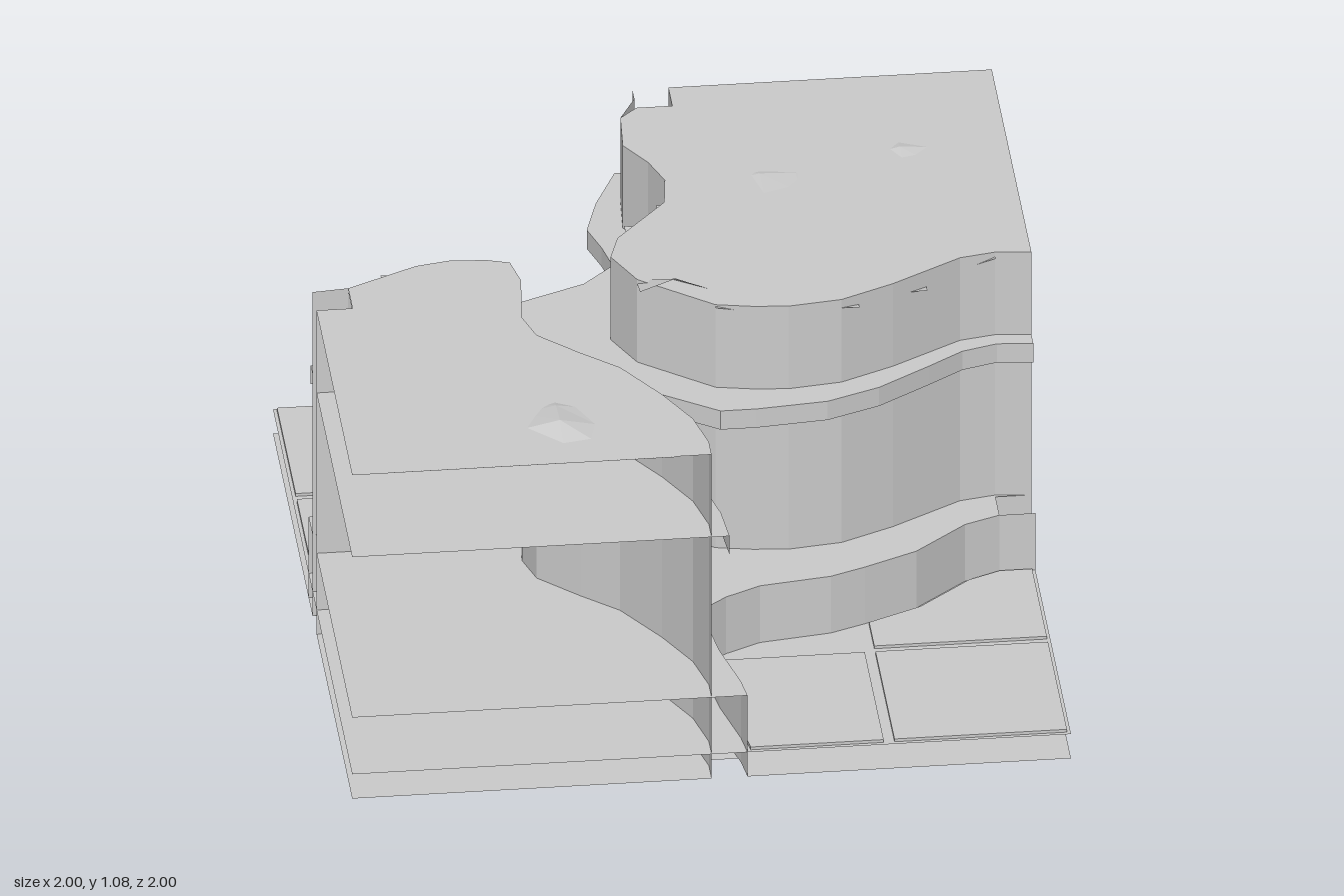
import * as THREE from 'three';

// Plan outlines, as [x, z] points
const northEdge = [[0, -1], [0, -0.95], [-0.05, -0.85], [-0.06, -0.7], [0, -0.6], [0.035, -0.5], [0.02, -0.38], [-0.13, -0.2],
  [-0.16, -0.1], [-0.1, 0.03], [0, 0.11], [0.1, 0.19], [0.2, 0.21], [0.3, 0.22], [0.45, 0.2], [0.6, 0.13], [0.8, 0.01], [0.9, -0.01], [1, 0]];
const southEdge = [[-1, 0], [-0.9, -0.01], [-0.7, -0.11], [-0.6, -0.13], [-0.5, -0.12], [-0.44, -0.1], [-0.42, 0], [-0.44, 0.2],
  [-0.41, 0.3], [-0.3, 0.41], [-0.2, 0.5], [-0.1, 0.66], [-0.03, 0.8], [0, 0.93], [0, 1]];
const galleryFront = [[1, 0.05], [0.9, 0.04], [0.8, 0.07], [0.7, 0.14], [0.55, 0.24], [0.4, 0.3], [0.2, 0.32], [0.1, 0.32], [0, 0.25],
  [-0.1, 0.18], [-0.2, 0.14], [-0.3, 0.16], [-0.32, 0.2], [-0.31, 0.28], [-0.2, 0.4], [-0.1, 0.5], [0, 0.7], [0.04, 0.87], [0.05, 1]];
const galleryBack = [[-1, -0.05], [-0.9, -0.07], [-0.7, -0.18], [-0.5, -0.28], [-0.2, -0.41], [-0.11, -0.5], [-0.13, -0.6],
  [-0.16, -0.7], [-0.12, -0.84], [-0.05, -1]];
const terraceFront = [[1, 0.1], [0.9, 0.1], [0.8, 0.14], [0.65, 0.27], [0.5, 0.34], [0.4, 0.38], [0.2, 0.41], [0.1, 0.46], [0.04, 0.51],
  [0.03, 0.6], [0.05, 0.75], [0.09, 0.92], [0.1, 1]];
const terraceBack = [[-1, -0.1], [-0.9, -0.12], [-0.7, -0.25], [-0.5, -0.38], [-0.3, -0.5], [-0.27, -0.6], [-0.25, -0.7], [-0.19, -0.83],
  [-0.1, -0.95], [-0.1, -1]];

// Small square shafts cut into the block sides
const westShaft = [[-1, 0.1], [-0.9, 0.1], [-0.9, 0], [-1, 0]];
const backShaft = [[0, -1], [0, -0.9], [0.1, -0.9], [0.1, -1]];
const eastShaft = [[1, 0], [0.9, 0], [0.9, 0.1]];
const frontShaft = [[0.1, 1], [0.1, 0.9], [0, 0.9], [0, 1]];

const grey = new THREE.MeshStandardMaterial({ color: 0xcccccc, side: THREE.DoubleSide, flatShading: true });
grey.name = 'light grey';

function add(group, name, geometry) {
  const mesh = new THREE.Mesh(geometry, grey);
  mesh.name = name;
  group.add(mesh);
  return mesh;
}

// Horizontal sheet with a given outline
function sheet(group, name, points, y) {
  const shape = new THREE.Shape(points.map(([x, z]) => new THREE.Vector2(x, -z)));
  add(group, name, new THREE.ShapeGeometry(shape).rotateX(-Math.PI / 2).translate(0, y, 0));
}

function surface(quads) {
  const positions = [];
  for (const [a, b, c, d] of quads) positions.push(...a, ...b, ...c, ...a, ...c, ...d);
  const geometry = new THREE.BufferGeometry();
  geometry.setAttribute('position', new THREE.Float32BufferAttribute(positions, 3));
  geometry.computeVertexNormals();
  return geometry;
}

// Vertical wall that follows a path; its front is on the path's right-hand side
function wall(group, name, path, y0, y1) {
  const quads = [];
  for (let i = 0; i + 1 < path.length; i++) {
    const [x0, z0] = path[i], [x1, z1] = path[i + 1];
    quads.push([[x0, y0, z0], [x1, y0, z1], [x1, y1, z1], [x0, y1, z0]]);
  }
  add(group, name, surface(quads));
}

function inside(x, z, points) {
  let hit = false;
  points.forEach(([ax, az], i) => {
    const [bx, bz] = points[(i + 1) % points.length];
    if ((az > z) !== (bz > z) && x < ax + ((z - az) / (bz - az)) * (bx - ax)) hit = !hit;
  });
  return hit;
}

// Uneven ground lying just below the plateau, with mounds that break through
function ground(group, name, outline, hills) {
  const height = (x, z) => {
    let h = -0.012;
    for (const [hx, hz, amount, radius] of hills) {
      h += amount * Math.exp(-((x - hx) ** 2 + (z - hz) ** 2) / radius ** 2);
    }
    const rim = Math.min(1, (1 - Math.max(Math.abs(x), Math.abs(z))) / 0.2);
    return 1.038 + h * Math.max(0, rim);
  };
  const quads = [];
  for (let i = -10; i < 10; i++) {
    for (let j = -10; j < 10; j++) {
      if (!inside(i / 10 + 0.05, j / 10 + 0.05, outline)) continue;
      const p = (a, b) => [a / 10, height(a / 10, b / 10), b / 10];
      const corners = [p(i, j), p(i, j + 1), p(i + 1, j + 1), p(i + 1, j)];
      if (corners.filter(([x, , z]) => inside(x * 0.99, z * 0.99, outline)).length > 2) quads.push(corners);
    }
  }
  add(group, name, surface(quads));
}

// Thin paving slab
function slab(group, name, points) {
  const shape = new THREE.Shape(points.map(([x, z]) => new THREE.Vector2(x, -z)));
  const geometry = new THREE.ExtrudeGeometry(shape, { depth: 0.009, bevelEnabled: false });
  add(group, name, geometry.rotateX(-Math.PI / 2).translate(0, 0.079, 0));
}

export function createModel() {
  const group = new THREE.Group();
  group.name = 'layeredTerrain';

  // Stacked floors
  sheet(group, 'baseFloor', [...eastShaft, [1, 0.1], [1, 1], ...frontShaft, [-1, 1], ...westShaft, [-1, -1], ...backShaft, [1, -1]], 0);
  sheet(group, 'streetFloor', [...eastShaft, [1, 0.1], [1, 1], [-1, 1], [-1, -1], [1, -1]], 0.078);
  sheet(group, 'terraceFloor', [...eastShaft, ...terraceFront.slice(2), [-1, 1], ...westShaft, ...terraceBack, ...backShaft, [1, -1]], 0.26);
  sheet(group, 'galleryFloor', [...galleryFront, [-1, 1], ...westShaft, ...galleryBack, ...backShaft, [1, -1]], 0.775);

  // High plateaus
  const northPlateau = [...northEdge.slice(2), [1, -1], [0.1, -1], [0.1, -0.9], [0, -0.9]];
  const southPlateau = [...southEdge.slice(1), [-1, 1], [-1, 0.1], [-0.9, 0.1]];
  sheet(group, 'northPlateau', northPlateau, 1.04);
  sheet(group, 'southPlateau', southPlateau, 1.04);
  ground(group, 'northGround', northPlateau, [
    [0.15, -0.1, -0.1, 0.2], [0.6, -0.1, -0.07, 0.25], [0.5, -0.75, -0.04, 0.2], [0.1, -0.7, -0.03, 0.15],
    [0.35, -0.45, 0.035, 0.12], [0.7, -0.6, 0.03, 0.12], [0.02, 0.1, 0.075, 0.11]]);
  ground(group, 'southGround', southPlateau, [
    [-0.5, 0.2, -0.07, 0.25], [-0.7, 0.45, -0.05, 0.25], [-0.12, 0.75, -0.055, 0.15], [-0.38, 0.77, 0.04, 0.13]]);

  // Cliffs and terrace walls
  wall(group, 'northCliff', northEdge, 0, 1.04);
  wall(group, 'southCliff', [...southEdge].reverse(), 0, 1.04);
  wall(group, 'galleryFrontLip', [...galleryFront].reverse(), 0.715, 0.775);
  wall(group, 'galleryBackLip', [...galleryBack].reverse(), 0.715, 0.775);
  wall(group, 'terraceFrontWall', [...terraceFront].reverse(), 0, 0.26);
  wall(group, 'terraceBackWall', [...terraceBack].reverse(), 0, 0.26);
  wall(group, 'backShaftWall', [[0.1, -0.9], [0.1, -1]], 0, 1.04);
  wall(group, 'westShaftWall', [[-1, 0.1], [-0.9, 0.1]], 0, 1.04);

  // Paving in the two low corners
  slab(group, 'backSlab', [[-0.99, -0.99], [-0.52, -0.99], [-0.52, -0.52], [-0.99, -0.52]]);
  slab(group, 'backRightSlab', [[-0.49, -0.99], [-0.11, -0.99], [-0.2, -0.83], [-0.26, -0.7], [-0.28, -0.6], [-0.3, -0.52], [-0.49, -0.52]]);
  slab(group, 'backLeftSlab', [[-0.99, -0.49], [-0.52, -0.49], [-0.52, -0.38], [-0.7, -0.26], [-0.9, -0.13], [-0.99, -0.11]]);
  slab(group, 'frontSlab', [[0.51, 0.51], [0.99, 0.51], [0.99, 0.99], [0.51, 0.99]]);
  slab(group, 'frontLeftSlab', [[0.05, 0.51], [0.48, 0.51], [0.48, 0.99], [0.11, 0.99], [0.1, 0.92], [0.06, 0.75], [0.04, 0.6]]);
  slab(group, 'frontRightSlab', [[0.51, 0.35], [0.66, 0.28], [0.81, 0.15], [0.9, 0.11], [0.99, 0.11], [0.99, 0.48], [0.51, 0.48]]);

  return group;
}
